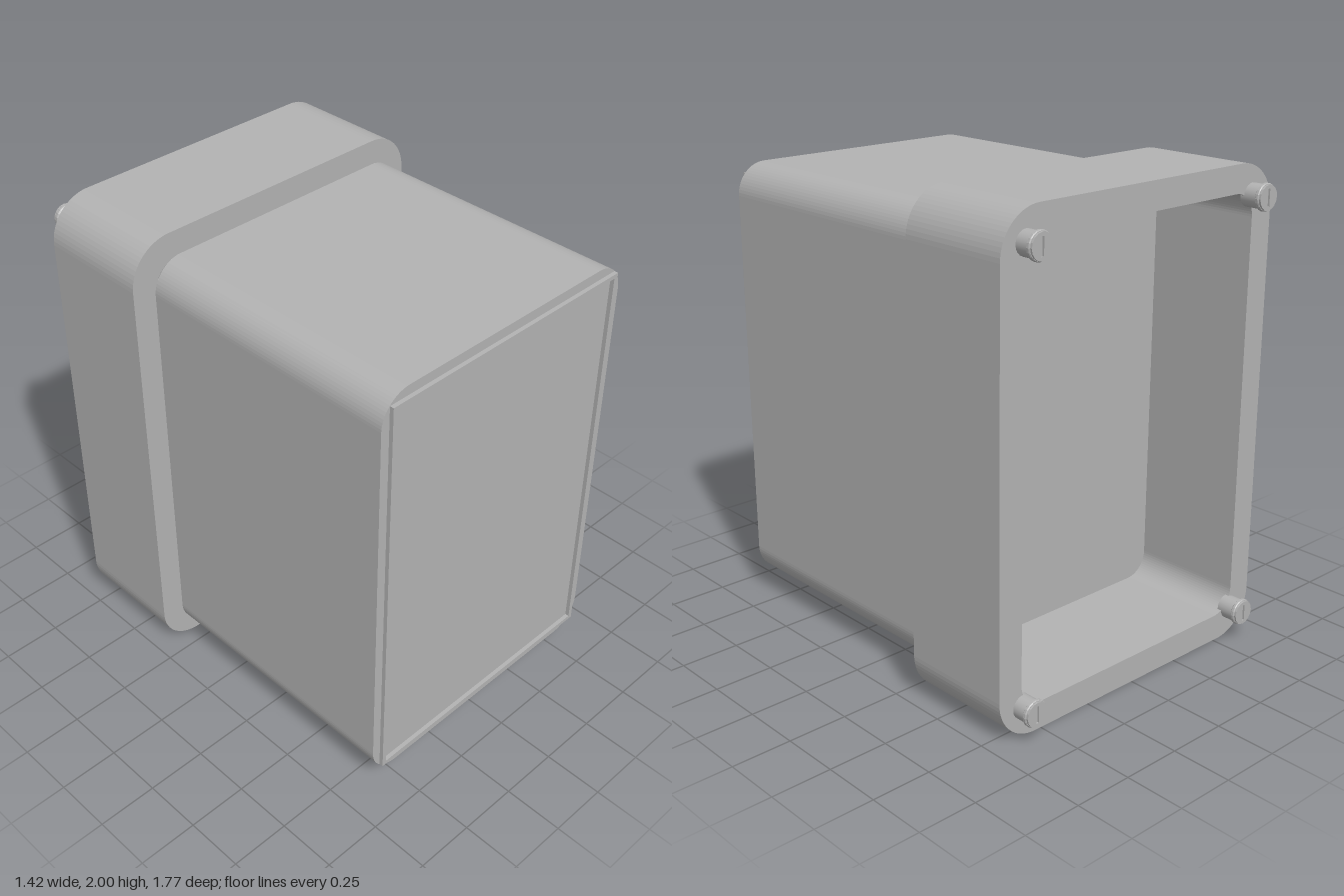
import * as THREE from 'three';

const CY = 1; // height of the centre axis

// Rounded rectangle centred on the axis, given half sizes and corner radius
function roundedRect(hw, hh, r, Type = THREE.Shape) {
  const s = new Type();
  s.moveTo(hw, -hh + r);
  s.lineTo(hw, hh - r);
  s.absarc(hw - r, hh - r, r, 0, Math.PI / 2, false);
  s.absarc(-hw + r, hh - r, r, Math.PI / 2, Math.PI, false);
  s.absarc(-hw + r, -hh + r, r, Math.PI, Math.PI * 1.5, false);
  s.absarc(hw - r, -hh + r, r, Math.PI * 1.5, Math.PI * 2, false);
  return s;
}

function rect(hw, hh, Type = THREE.Shape) {
  return new Type([[-hw, -hh], [hw, -hh], [hw, hh], [-hw, hh]].map(([x, y]) => new THREE.Vector2(x, y)));
}

export function createModel() {
  const model = new THREE.Group();
  model.name = 'housing';
  const grey = new THREE.MeshStandardMaterial({ color: 0xb2b2b2 });
  grey.name = 'grey';

  const add = (name, geometry, parent = model) => {
    const mesh = new THREE.Mesh(geometry, grey);
    mesh.name = name;
    parent.add(mesh);
    return mesh;
  };
  const extrude = (shape, z0, z1) =>
    new THREE.ExtrudeGeometry(shape, { depth: z1 - z0, bevelEnabled: false, curveSegments: 8 }).translate(0, 0, z0);

  // Main body
  add('body', extrude(roundedRect(0.63, 0.917, 0.13), -0.29, 0.865)).position.y = CY;

  // Chamfered back of the body, also the floor of the rear recess
  const chamfer = new THREE.ExtrudeGeometry(roundedRect(0.6, 0.887, 0.1), {
    depth: 0.001, bevelEnabled: true, bevelSize: 0.03, bevelThickness: 0.03, bevelSegments: 1, curveSegments: 8,
  }).translate(0, 0, -0.29);
  add('bodyChamfer', chamfer).position.y = CY;

  // Thin raised rim on the front face
  const rim = rect(0.592, 0.877);
  rim.holes.push(rect(0.573, 0.86, THREE.Path));
  add('frontRim', extrude(rim, 0.86, 0.882)).position.y = CY;

  // Wide open collar at the back
  const collar = roundedRect(0.71, 1, 0.18);
  collar.holes.push(roundedRect(0.6, 0.887, 0.1, THREE.Path));
  add('collar', extrude(collar, -0.805, -0.318)).position.y = CY;

  // Four slotted screws at the corners
  const stemGeo = new THREE.CylinderGeometry(0.048, 0.048, 0.075, 20).rotateX(-Math.PI / 2).translate(0, 0, -0.825);
  const headGeo = new THREE.LatheGeometry(
    [[0, 0], [0.048, 0], [0.055, 0.006], [0.055, 0.016], [0.052, 0.02], [0, 0.02]].map(([r, h]) => new THREE.Vector2(r, h)), 20,
  ).rotateX(-Math.PI / 2).translate(0, 0, -0.857).toNonIndexed();
  headGeo.computeVertexNormals();
  const face = new THREE.Shape().absarc(0, 0, 0.05, 0, Math.PI * 2, false);
  face.holes.push(rect(0.006, 0.035, THREE.Path));
  const faceGeo = extrude(face, -0.885, -0.876);
  for (const x of [-0.593, 0.593]) {
    for (const y of [0.127, 1.873]) {
      const screw = new THREE.Group();
      screw.name = 'screw';
      screw.position.set(x, y, 0);
      add('screwStem', stemGeo, screw);
      add('screwHead', headGeo, screw);
      add('screwSlotFace', faceGeo, screw);
      model.add(screw);
    }
  }
  return model;
}
